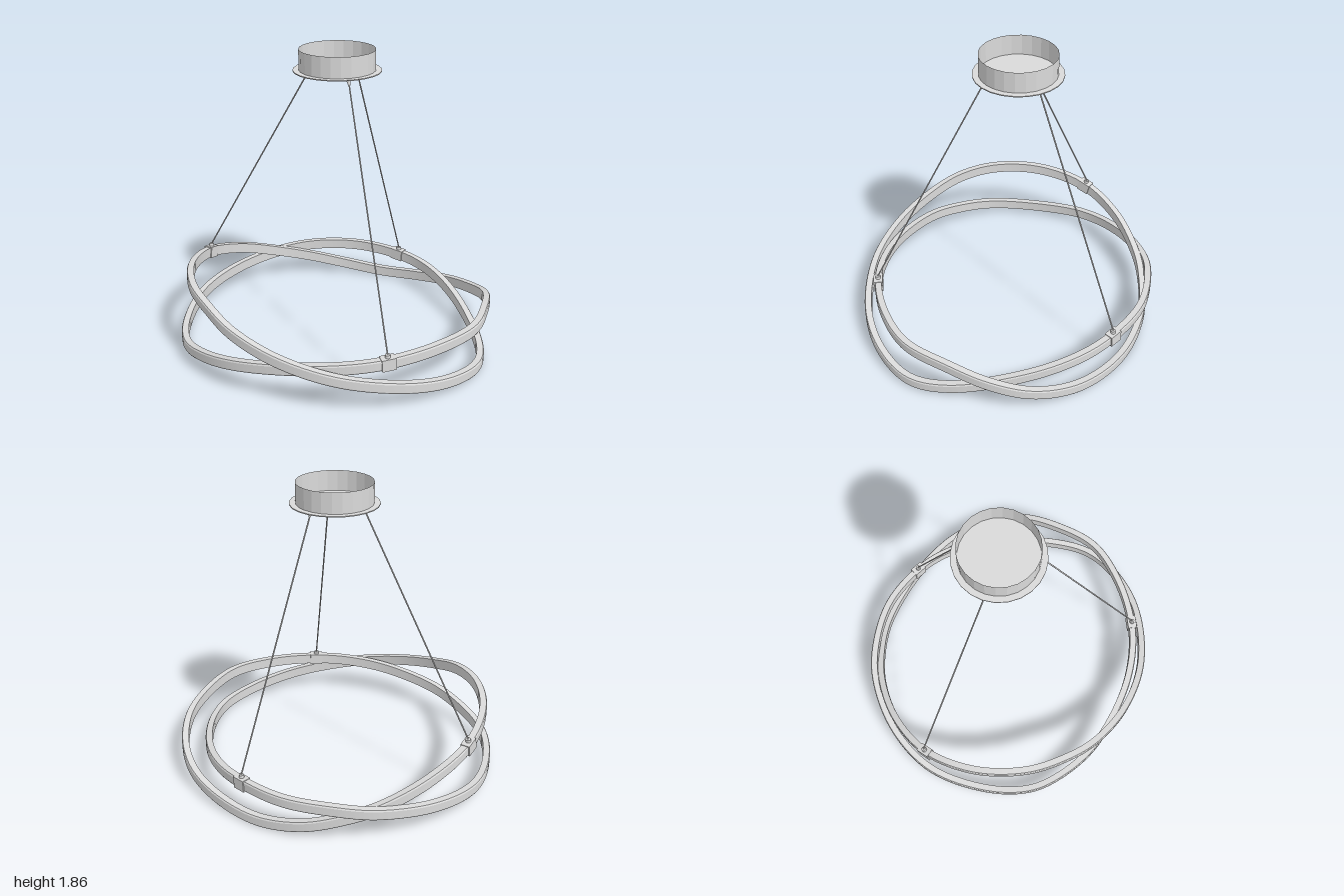
import * as THREE from 'three';

const metal = new THREE.MeshStandardMaterial({ color: 0xdadada });
metal.name = 'satin metal';
metal.side = THREE.DoubleSide;

const UP = new THREE.Vector3(0, 1, 0);
const v = (p) => new THREE.Vector3(...p);

// One closed band that goes round twice, weaving over itself
const BAND_PATH = [
  [-0.915, 0.456, -0.06], [-0.88, 0.432, 0.2], [-0.795, 0.369, 0.42], [-0.6, 0.29, 0.67],
  [-0.3, 0.21, 0.865], [0.1, 0.13, 0.94], [0.41, 0.075, 0.88], [0.645, 0.045, 0.73],
  [0.765, 0.06, 0.49], [0.825, 0.14, 0.02], [0.78, 0.19, -0.3], [0.668, 0.213, -0.53],
  [0.46, 0.22, -0.76], [0.2, 0.215, -0.89], [-0.05, 0.19, -0.938], [-0.41, 0.145, -0.872],
  [-0.72, 0.1, -0.67], [-0.92, 0.073, -0.32], [-0.975, 0.086, -0.03], [-0.92, 0.122, 0.2],
  [-0.785, 0.172, 0.435], [-0.5, 0.225, 0.685], [-0.25, 0.25, 0.81], [-0.012, 0.265, 0.86],
  [0.3, 0.28, 0.838], [0.595, 0.285, 0.728], [0.8, 0.27, 0.5], [0.93, 0.225, 0.28],
  [0.975, 0.155, 0.04], [0.93, 0.1, -0.22], [0.79, 0.055, -0.46], [0.595, 0.034, -0.66],
  [0.36, 0.07, -0.81], [0.12, 0.135, -0.88], [-0.1, 0.2, -0.895], [-0.4, 0.305, -0.83],
  [-0.665, 0.392, -0.667], [-0.85, 0.445, -0.38],
];

// Band section: flat inner side, slightly bevelled outer side
const BAND_SECTION = [
  [-0.018, -0.033], [0.021, -0.033], [0.021, 0.033],
  [-0.018, 0.033], [-0.023, 0.024], [-0.023, -0.024],
];

// Frame across the band: s is sideways (inward), u is upward
function frameFor(t) {
  const s = new THREE.Vector3().crossVectors(UP, t).normalize();
  const u = new THREE.Vector3().crossVectors(t, s);
  return { s, u };
}

// Sweep a section round a closed curve, keeping its long edges sharp
function sweepSection(curve, section, steps) {
  const pos = [], index = [];
  section.forEach((a, k) => {
    const b = section[(k + 1) % section.length];
    const base = pos.length / 3;
    for (let i = 0; i < steps; i++) {
      const p = curve.getPoint(i / steps);
      const { s, u } = frameFor(curve.getTangent(i / steps));
      for (const c of [a, b]) {
        const q = p.clone().addScaledVector(s, c[0]).addScaledVector(u, c[1]);
        pos.push(q.x, q.y, q.z);
      }
      const a0 = base + i * 2, a1 = base + ((i + 1) % steps) * 2;
      index.push(a0, a0 + 1, a1 + 1, a0, a1 + 1, a1);
    }
  });
  const g = new THREE.BufferGeometry();
  g.setAttribute('position', new THREE.Float32BufferAttribute(pos, 3));
  g.setIndex(index);
  g.computeVertexNormals();
  return g;
}

function add(parent, name, geometry, position = [0, 0, 0]) {
  const m = new THREE.Mesh(geometry, metal);
  m.name = name;
  m.position.set(...position);
  parent.add(m);
  return m;
}

// Round rod between two points
function rod(parent, name, from, to, rFrom, rTo, sides = 8) {
  const dir = to.clone().sub(from);
  const m = add(parent, name, new THREE.CylinderGeometry(rTo, rFrom, dir.length(), sides));
  m.position.copy(from).addScaledVector(dir, 0.5);
  m.quaternion.setFromUnitVectors(UP, dir.normalize());
}

export function createModel() {
  const model = new THREE.Group();
  model.name = 'pendantLamp';

  // Ceiling canopy: open cup standing on a thin round plate
  const canopy = new THREE.Group();
  canopy.name = 'canopy';
  canopy.position.set(0.02, 0, -0.048);
  model.add(canopy);
  const wall = new THREE.CylinderGeometry(0.229, 0.229, 0.127, 24, 1, true).toNonIndexed();
  wall.computeVertexNormals();
  add(canopy, 'canopyWall', wall, [0, 1.799, 0]);
  add(canopy, 'canopyPlate', new THREE.CylinderGeometry(0.265, 0.265, 0.006, 24), [0, 1.735, 0]);

  // Light band
  const curve = new THREE.CatmullRomCurve3(BAND_PATH.map(v), true, 'centripetal');
  add(model, 'lightBand', sweepSection(curve, BAND_SECTION, 320));

  // Three suspensions: ceiling fitting, wire, and clamp on the band
  const suspensions = [
    { top: [-0.135, 1.733, -0.135], at: 36 },
    { top: [0.175, 1.733, -0.135], at: 11 },
    { top: [0.02, 1.733, 0.14], at: 23 },
  ];
  for (const { top, at } of suspensions) {
    const group = new THREE.Group();
    group.name = 'suspension';
    model.add(group);

    const grip = v(BAND_PATH[at]);
    const t = curve.getTangent(at / BAND_PATH.length);
    const { s, u } = frameFor(t);
    const clamp = add(group, 'clamp', new THREE.BoxGeometry(0.058, 0.074, 0.086));
    clamp.position.copy(grip);
    clamp.quaternion.setFromRotationMatrix(new THREE.Matrix4().makeBasis(s, u, t));

    const start = v(top);
    const collarTop = grip.clone().addScaledVector(u, 0.055);
    const dir = start.clone().sub(collarTop).normalize();
    rod(group, 'clampCollar', grip.clone().addScaledVector(u, 0.03), collarTop, 0.017, 0.015, 12);

    const neck = start.clone().add(new THREE.Vector3(0, -0.022, 0));
    rod(group, 'ceilingFitting', start, neck, 0.016, 0.012, 12);
    rod(group, 'fittingTip', neck, neck.clone().addScaledVector(dir, -0.025), 0.012, 0.006, 12);
    rod(group, 'wire', collarTop, neck, 0.0045, 0.0045);
  }
  return model;
}
